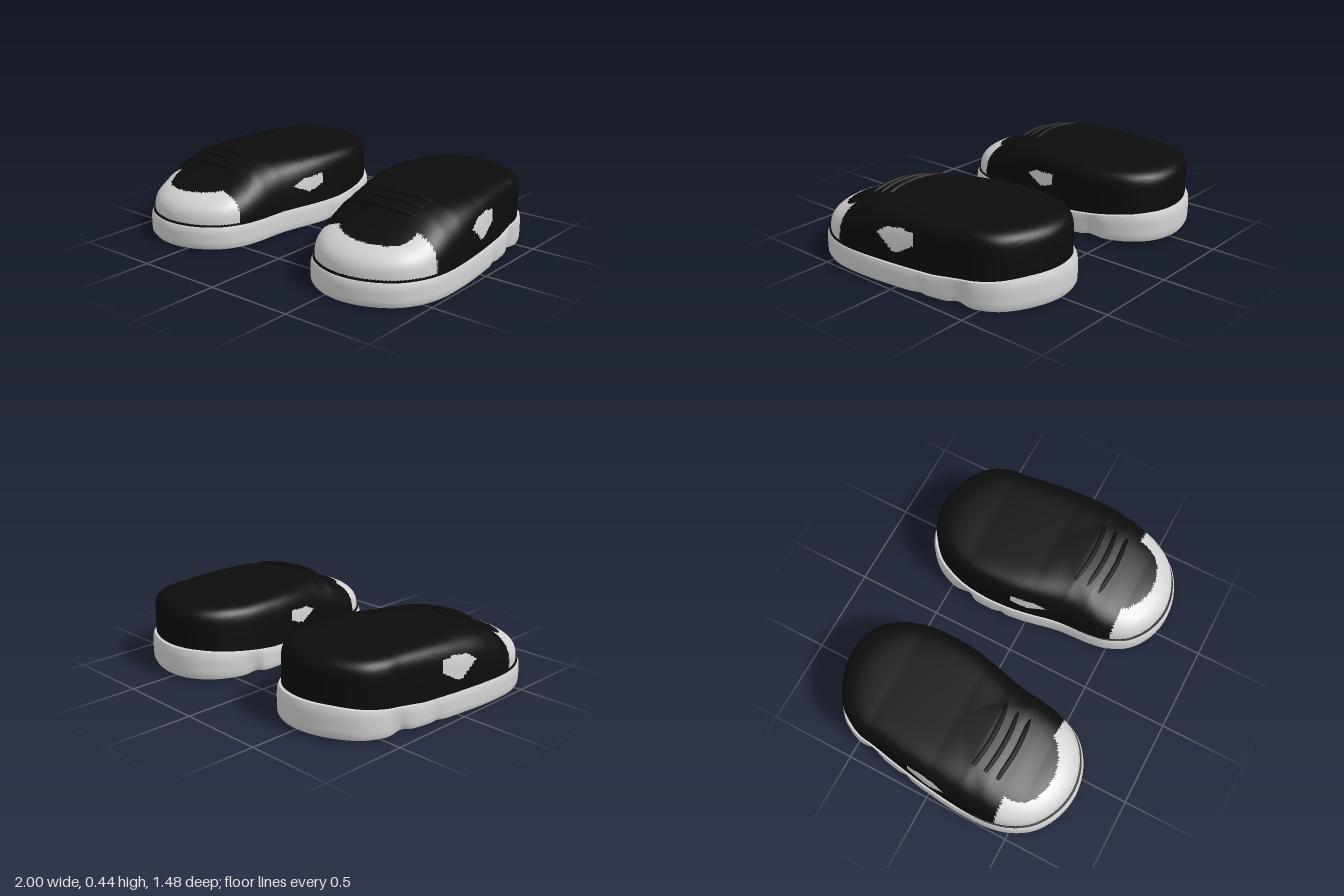
import * as THREE from 'three';
import { toCreasedNormals } from 'three/addons/utils/BufferGeometryUtils.js';

const fabric = new THREE.MeshStandardMaterial({ color: 0x0c0c0c });
fabric.name = 'black fabric';
const rubber = new THREE.MeshStandardMaterial({ color: 0xd2d2d2 });
rubber.name = 'light rubber';

const { smoothstep, lerp } = THREE.MathUtils;
const COLS = 200;
const CX = 0.58;

// Footprint of one shoe as [x, z], from the heel along the outer side to the toe and back
const footprint = new THREE.CatmullRomCurve3([
  [0.53, -0.74], [0.7, -0.7], [0.84, -0.61], [0.9, -0.5], [0.915, -0.4], [0.95, -0.2],
  [0.98, 0], [0.998, 0.2], [0.99, 0.4], [0.955, 0.52], [0.88, 0.63], [0.75, 0.71], [0.6, 0.738],
  [0.45, 0.705], [0.33, 0.62], [0.265, 0.5], [0.245, 0.4], [0.23, 0.2], [0.19, 0],
  [0.17, -0.15], [0.172, -0.38], [0.2, -0.5], [0.26, -0.62], [0.37, -0.71],
].map(([x, z]) => new THREE.Vector3(x, 0, z)), true).getSpacedPoints(COLS).slice(0, COLS);

// Height of the sole's top edge and of the upper's ridge along the shoe
const soleTop = z => 0.13 + 0.048 * THREE.MathUtils.clamp((-z - 0.25) / 0.45, 0, 1);
const ridgePoints = [[-0.74, 0.432], [-0.4, 0.418], [0, 0.422], [0.2, 0.434], [0.32, 0.415],
  [0.42, 0.365], [0.5, 0.338], [0.74, 0.332]];
function ridge(z) {
  for (let i = 1; i < ridgePoints.length; i++) {
    const [z0, y0] = ridgePoints[i - 1], [z1, y1] = ridgePoints[i];
    if (z <= z1) return lerp(y0, y1, (z - z0) / (z1 - z0));
  }
  return 0.332;
}
const squareness = z => lerp(8, 3, smoothstep(z, -0.45, 0.4));

// Skin over rings of the footprint; point(column, row) places a vertex, paint(x, y, z) picks material 0 or 1
function loft(rows, side, point, paint, crease) {
  const positions = [], lists = [[], []];
  for (let j = 0; j < rows; j++) {
    for (const p of footprint) {
      const [x, y, z] = point(p, j);
      positions.push(x, y, z);
    }
  }
  const addFace = (a, b, c) => {
    const mid = k => (positions[a * 3 + k] + positions[b * 3 + k] + positions[c * 3 + k]) / 3;
    lists[paint(mid(0), mid(1), mid(2))].push(...(side > 0 ? [a, b, c] : [a, c, b]));
  };
  for (let j = 0; j < rows - 1; j++) {
    for (let i = 0; i < COLS; i++) {
      const k = (i + 1) % COLS;
      const a = j * COLS + i, b = j * COLS + k, c = b + COLS, d = a + COLS;
      addFace(a, d, b);
      addFace(b, d, c);
    }
  }
  const geometry = new THREE.BufferGeometry();
  geometry.setAttribute('position', new THREE.Float32BufferAttribute(positions.map((v, i) => i % 3 ? v : v * side), 3));
  geometry.setIndex([...lists[0], ...lists[1]]);
  geometry.addGroup(0, lists[0].length, 0);
  geometry.addGroup(lists[0].length, lists[1].length, 1);
  return toCreasedNormals(geometry, crease);
}

function inside(px, py, polygon) {
  let hit = false;
  polygon.forEach(([x0, y0], i) => {
    const [x1, y1] = polygon[(i + 1) % polygon.length];
    if ((y0 > py) !== (y1 > py) && px < x0 + (x1 - x0) * (py - y0) / (y1 - y0)) hit = !hit;
  });
  return hit;
}

// Side patches as [z, y], and the dark tongue area that cuts into the toe cap as [x, z]
const outerPatch = [[0.11, 0.285], [0.05, 0.325], [-0.05, 0.338], [-0.13, 0.325], [-0.12, 0.26], [-0.04, 0.21], [0.01, 0.198]];
const innerPatch = [[0.11, 0.265], [0.05, 0.3], [-0.1, 0.31], [-0.1, 0.25], [0, 0.215]];
const vamp = [[0.85, 0.3], [0.845, 0.45], [0.82, 0.52], [0.77, 0.565], [0.7, 0.592], [0.6, 0.597],
  [0.52, 0.575], [0.45, 0.53], [0.41, 0.475], [0.36, 0.48], [0.3, 0.3]];

function paintUpper(x, y, z) {
  const capEdge = lerp(0.5, 0.415, smoothstep(x, 0.35, 0.8));
  if (z > capEdge && y > 0.142 && !inside(x, z, vamp)) return 1;
  return inside(z, y, x > CX ? outerPatch : innerPatch) ? 1 : 0;
}

// Rounded upper: squarish at the heel, domed at the toe
const UPPER_ROWS = 64;
function upperPoint(p, j) {
  if (j === 0) { // welt that sits on the sole
    const s = lerp(0.955, 0.982, smoothstep(p.z, 0, 0.4));
    return [CX + (p.x - CX) * s, soleTop(p.z) + 0.003, p.z * s];
  }
  const n = squareness(p.z), angle = (j - 1) / (UPPER_ROWS - 2) * Math.PI / 2;
  const c = Math.max(Math.cos(angle), 0), v = Math.sin(angle);
  const r = Math.pow(c ** n + v ** n, -1 / n);
  const s = 0.965 * c * r, z = p.z * s, base = soleTop(p.z) + 0.004;
  return [CX + (p.x - CX) * s, base + (ridge(z) - base) * v * r, z];
}

// Sole rings as [inset, height fraction]
const soleRings = [[0, 0], [0.5, 0], [0.9, 0], [0.985, 0.01], [0.998, 0.12], [1, 0.3], [1, 0.5],
  [1, 0.7], [0.996, 0.88], [0.985, 1], [0.9, 1]];
function solePoint(p, j) {
  const [inset, v] = soleRings[j];
  // shallow grip dents low on the side walls
  const dent = (0.07 * Math.exp(-(((p.z + 0.4) / 0.05) ** 2)) + 0.03 * Math.exp(-(((p.z + 0.16) / 0.03) ** 2))) * (1 - v);
  const s = inset * (1 - dent), bottom = lerp(0.011, 0.003, smoothstep(p.z, 0.1, 0.6));
  return [CX + (p.x - CX) * s, lerp(bottom, soleTop(p.z), v), p.z * s];
}

// Dark tread marks under the forefoot as [x, z]
const treadMarks = [
  [[0.93, 0.2], [0.58, 0.3], [0.61, 0.48], [0.93, 0.32]],
  [[0.57, 0.67], [0.68, 0.66], [0.67, 0.71], [0.58, 0.715]],
];

function lace(z, side) {
  const points = [];
  for (let i = 0; i <= 8; i++) {
    const x = 0.41 + i * 0.0475;
    const s = Math.min(Math.hypot((x - 0.61) / 0.37, z / 0.73), 0.98), n = squareness(z + 0.2);
    points.push(new THREE.Vector3(x * side, 0.13 + (ridge(z) - 0.13) * Math.pow(1 - s ** n, 1 / n) - 0.002, z + 0.02 * Math.sin(i / 8 * Math.PI)));
  }
  return new THREE.TubeGeometry(new THREE.CatmullRomCurve3(points), 20, 0.014, 8);
}

function makeShoe(side) {
  const shoe = new THREE.Group();
  shoe.name = side > 0 ? 'leftShoe' : 'rightShoe';
  const add = (name, geometry, material) => {
    const mesh = new THREE.Mesh(geometry, material);
    mesh.name = name;
    shoe.add(mesh);
    return mesh;
  };
  add('sole', loft(soleRings.length, side, solePoint, () => 1, 0.6), [fabric, rubber]);
  add('upper', loft(UPPER_ROWS, side, upperPoint, paintUpper, 1.0), [fabric, rubber]);
  for (const z of [0.2, 0.27, 0.34]) add('lace', lace(z, side), fabric);
  for (const mark of treadMarks) {
    const shape = new THREE.Shape(mark.map(([x, z]) => new THREE.Vector2(x * side, z)));
    add('treadMark', new THREE.ShapeGeometry(shape).rotateX(Math.PI / 2), fabric);
  }
  return shoe;
}

export function createModel() {
  const model = new THREE.Group();
  model.name = 'pairOfShoes';
  model.add(makeShoe(1), makeShoe(-1));
  return model;
}
